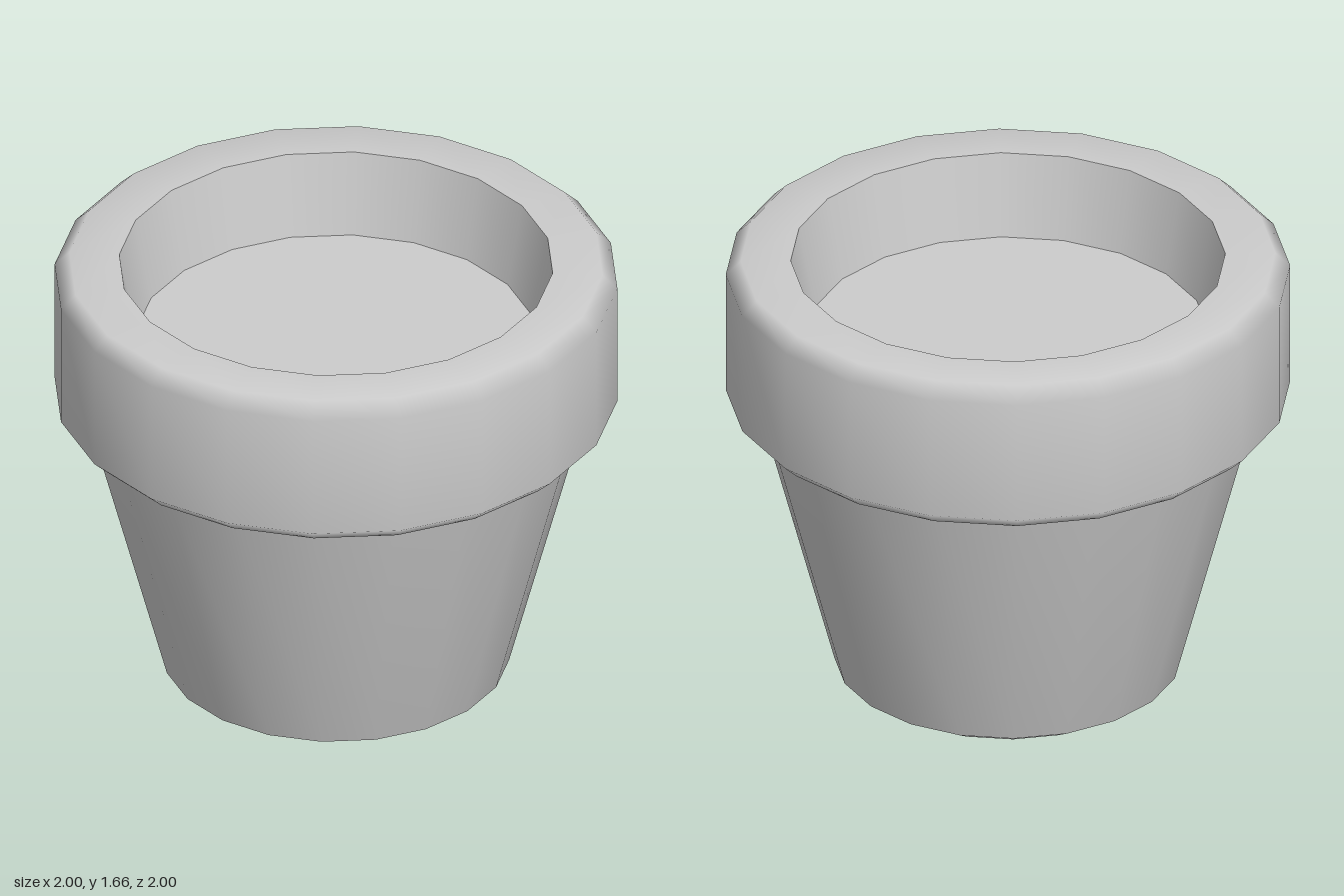
import * as THREE from 'three';

const SIDES = 20;

export function createModel() {
  const pot = new THREE.Group();
  pot.name = 'flowerPot';
  const material = new THREE.MeshStandardMaterial({ color: 0xcccccc });

  // Revolve a [radius, height] profile; smooth within each part, sharp between parts
  const turn = (name, profile) => {
    const points = profile.map(([r, y]) => new THREE.Vector2(r, y));
    const mesh = new THREE.Mesh(new THREE.LatheGeometry(points, SIDES), material);
    mesh.name = name;
    pot.add(mesh);
  };

  // Tapered body with a bevelled, closed base
  turn('body', [[0, 0], [0.53, 0], [0.615, 0.05], [0.89, 1.09]]);

  // Thick rim band with bevelled outer edges
  turn('rim', [[0.89, 1.09], [0.947, 1.09], [1, 1.14], [1, 1.605], [0.947, 1.657], [0.77, 1.657]]);

  // Inner wall, running down to the soil
  turn('innerWall', [[0.77, 1.657], [0.71, 1.35]]);

  // Flat soil surface
  turn('soil', [[0.71, 1.35], [0, 1.35]]);

  return pot;
}
